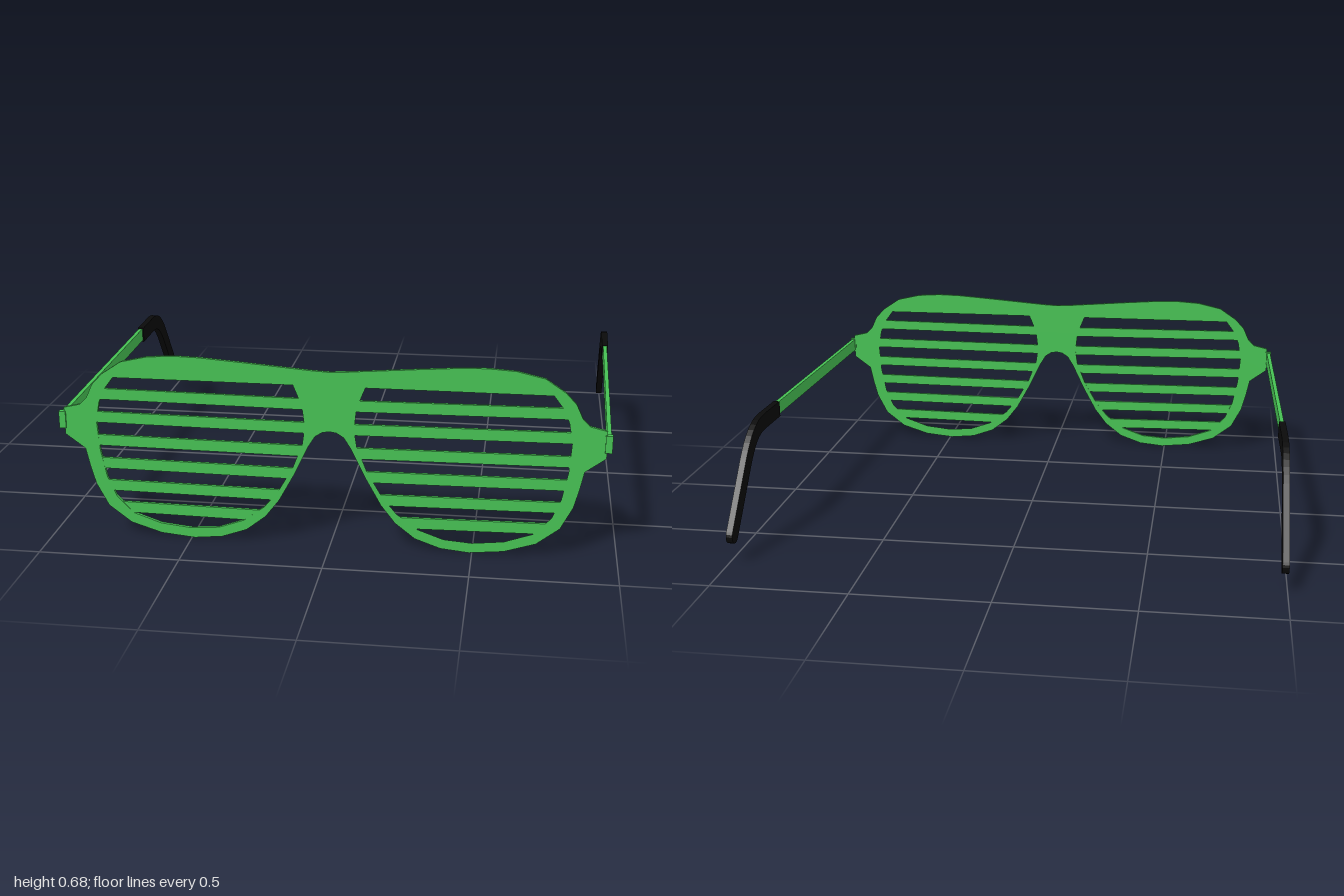
import * as THREE from 'three';

const green = new THREE.MeshStandardMaterial({ color: 0x46c153 });
const black = new THREE.MeshStandardMaterial({ color: 0x0a0a0a });
const FRONT_Z = 0.8, THICK = 0.012;

// Half outline of the front, from top centre round to under the bridge
const outline = [
  [0, 0.645], [0.06, 0.648], [0.3, 0.667], [0.45, 0.678], [0.54, 0.68], [0.634, 0.674], [0.73, 0.652],
  [0.8, 0.605], [0.837, 0.565], [0.86, 0.515], [0.885, 0.49], [0.944, 0.476],
  [0.944, 0.378], [0.874, 0.326], [0.86, 0.26], [0.842, 0.193], [0.8, 0.112], [0.72, 0.05],
  [0.61, 0.015], [0.49, 0.003], [0.39, 0.013], [0.3, 0.045], [0.23, 0.1], [0.18, 0.165],
  [0.125, 0.265], [0.075, 0.37], [0.05, 0.41], [0.025, 0.426], [0, 0.43],
];

// Opening of one eye
const opening = [
  [0.125, 0.594], [0.76, 0.594], [0.797, 0.545], [0.815, 0.5], [0.828, 0.43], [0.82, 0.32],
  [0.8, 0.22], [0.77, 0.15], [0.71, 0.087], [0.61, 0.052], [0.5, 0.04], [0.4, 0.048],
  [0.31, 0.08], [0.235, 0.135], [0.185, 0.195], [0.13, 0.29], [0.095, 0.38], [0.086, 0.44],
  [0.095, 0.52],
];

const toPoints = (list, side = 1) => list.map(([x, y]) => new THREE.Vector2(x * side, y));

function mesh(name, geometry, material) {
  const m = new THREE.Mesh(geometry, material);
  m.name = name;
  return m;
}

function extrude(shape, depth) {
  return new THREE.ExtrudeGeometry(shape, { depth, bevelEnabled: false, curveSegments: 10 });
}

// Inner and outer x of the eye opening at a height
function span(y) {
  const xs = [];
  opening.forEach(([x0, y0], i) => {
    const [x1, y1] = opening[(i + 1) % opening.length];
    if ((y0 > y) !== (y1 > y)) xs.push(x0 + (x1 - x0) * (y - y0) / (y1 - y0));
  });
  return [Math.min(...xs), Math.max(...xs)];
}

function frontFrame() {
  const mirrored = outline.slice(1, -1).reverse().map(([x, y]) => [-x, y]);
  const shape = new THREE.Shape(toPoints([...outline, ...mirrored]));
  for (const side of [-1, 1]) shape.holes.push(new THREE.Path(toPoints(opening, side)));
  const m = mesh('frontFrame', extrude(shape, THICK), green);
  m.position.z = FRONT_Z;
  return m;
}

// Slightly tilted shutter bars whose ends run into the rim
function slats(side) {
  const group = new THREE.Group();
  group.name = side > 0 ? 'leftSlats' : 'rightSlats';
  for (const y of [0.529, 0.443, 0.357, 0.271, 0.187, 0.105]) {
    const h = 0.02, tilt = 0.003, tuck = 0.015;
    const [topIn, topOut] = span(y + h), [lowIn, lowOut] = span(y - h);
    const shape = new THREE.Shape(toPoints([
      [lowIn - tuck, y - h - tilt], [lowOut + tuck, y - h + tilt],
      [topOut + tuck, y + h + tilt], [topIn - tuck, y + h - tilt],
    ], side));
    const m = mesh('slat', extrude(shape, THICK - 0.001), green);
    m.position.z = FRONT_Z + 0.0005;
    group.add(m);
  }
  return group;
}

// Flat ear tip: a band of constant width along a bent centre line, with a round end
function earTipShape(r) {
  const path = new THREE.CurvePath();
  const v = (x, y) => new THREE.Vector2(x, y);
  path.add(new THREE.LineCurve(v(1.06, 0.43), v(1.23, 0.43)));
  path.add(new THREE.CubicBezierCurve(v(1.23, 0.43), v(1.31, 0.43), v(1.36, 0.395), v(1.415, 0.33)));
  path.add(new THREE.LineCurve(v(1.415, 0.33), v(1.592, 0.108)));
  const upper = [], lower = [];
  for (const curve of path.curves) {
    const n = curve.isLineCurve ? 1 : 8;
    for (let i = 0; i <= n; i++) {
      const p = curve.getPoint(i / n), t = curve.getTangent(i / n);
      upper.push(v(p.x - t.y * r, p.y + t.x * r));
      lower.push(v(p.x + t.y * r, p.y - t.x * r));
    }
  }
  const end = path.curves[2].getPoint(1), dir = path.curves[2].getTangent(1).angle();
  const cap = [];
  for (let i = 1; i < 10; i++) {
    const a = dir + Math.PI / 2 - i * Math.PI / 10;
    cap.push(v(end.x + r * Math.cos(a), end.y + r * Math.sin(a)));
  }
  return new THREE.Shape([...upper, ...cap, ...lower.reverse()]);
}

// Temple arm, running backwards and splaying slightly outwards
function temple(side) {
  const group = new THREE.Group();
  group.name = side > 0 ? 'leftTemple' : 'rightTemple';

  const arm = new THREE.BoxGeometry(1.08, 0.05, 0.015);
  arm.translate(0.54, 0.432, 0);
  group.add(mesh('arm', arm, green));

  const tip = extrude(earTipShape(0.03), 0.024);
  tip.translate(0, 0, -0.012);
  group.add(mesh('earTip', tip, black));

  group.position.set(side * 0.95, 0, 0.808);
  group.rotation.y = Math.PI / 2 - side * 0.0235;
  return group;
}

function hinge(side) {
  const m = mesh(side > 0 ? 'leftHinge' : 'rightHinge', new THREE.BoxGeometry(0.024, 0.062, 0.02), green);
  m.position.set(side * 0.95, 0.431, 0.808);
  return m;
}

export function createModel() {
  const model = new THREE.Group();
  model.name = 'shutterGlasses';
  model.add(frontFrame());
  for (const side of [1, -1]) model.add(slats(side), hinge(side), temple(side));
  return model;
}
